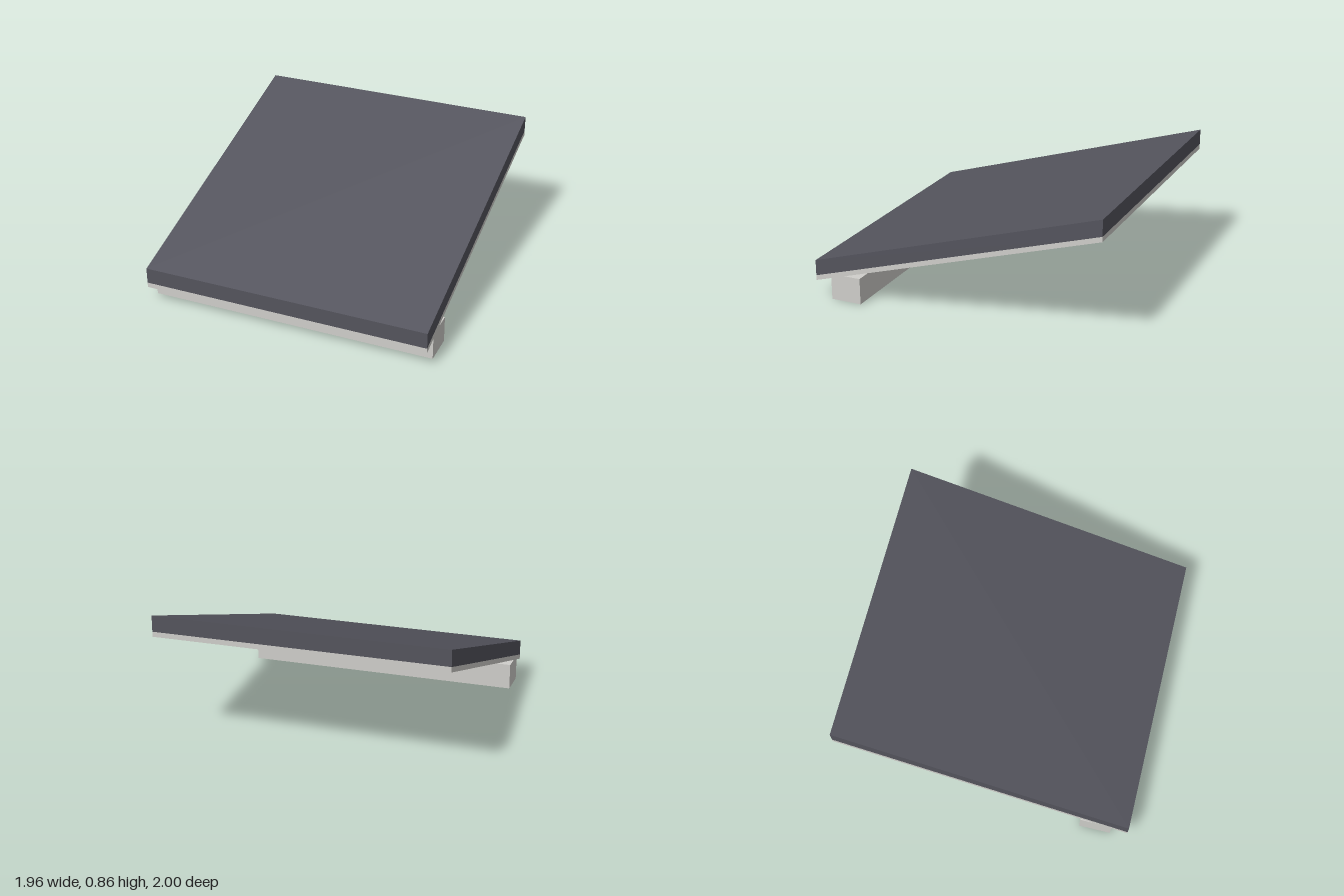
import * as THREE from 'three';

const HALF_WIDTH = 0.98;
const RISE = 0.6; // height gained from front edge to back edge

// Extrudes a side profile of [z, y] points across the full width.
function acrossWidth(name, profile, material) {
  const shape = new THREE.Shape(profile.map(([z, y]) => new THREE.Vector2(z, y)));
  const geometry = new THREE.ExtrudeGeometry(shape, { depth: HALF_WIDTH * 2, bevelEnabled: false });
  geometry.translate(0, 0, -HALF_WIDTH).rotateY(-Math.PI / 2);
  const mesh = new THREE.Mesh(geometry, material);
  mesh.name = name;
  return mesh;
}

// Sloping layer with plumb edges; heights are given at the front edge.
const slopedLayer = (bottom, top) => [
  [-1, bottom + RISE], [1, bottom], [1, top], [-1, top + RISE],
];

export function createModel() {
  const slate = new THREE.MeshStandardMaterial({ color: 0x54545d });
  slate.name = 'dark slate';
  const plaster = new THREE.MeshStandardMaterial({ color: 0xd0cfcb });
  plaster.name = 'pale plaster';

  const model = new THREE.Group();
  model.name = 'slopedRoof';

  // Thick roof covering over a thin pale lining
  model.add(acrossWidth('roofCovering', slopedLayer(0.149, 0.257), slate));
  model.add(acrossWidth('roofLining', slopedLayer(0.115, 0.149), plaster));

  // Supporting beam under the low edge
  model.add(acrossWidth('supportBeam', [[0.67, 0], [0.885, 0], [0.885, 0.18], [0.67, 0.18]], plaster));

  return model;
}
